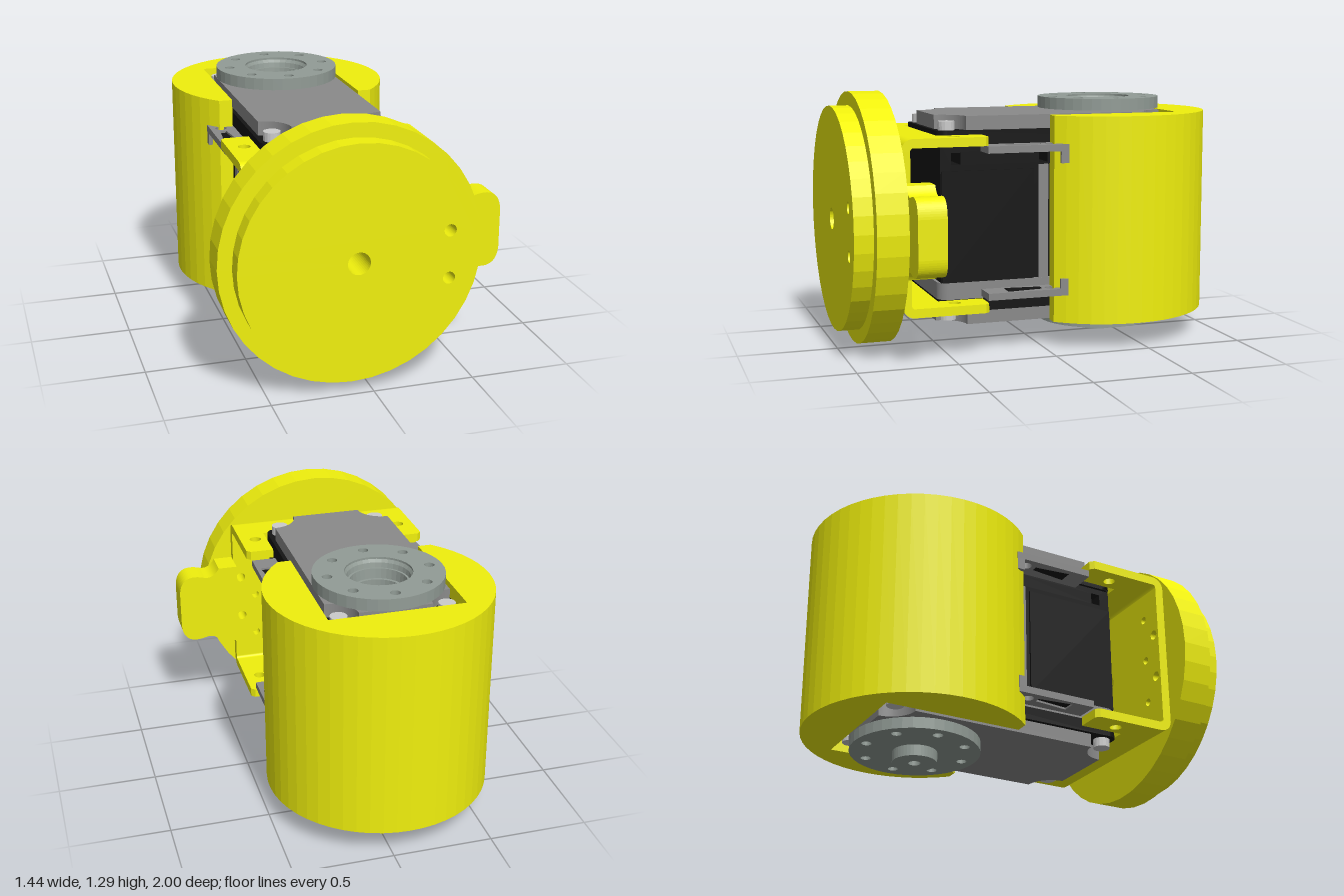
import * as THREE from 'three';

const CX = -0.08, CY = 0.655, CZ = -0.44; // body centre line, disc height, horn axis

export function createModel() {
  const model = new THREE.Group();
  const mat = (color) => new THREE.MeshStandardMaterial({ color, flatShading: true, side: THREE.DoubleSide });
  const yellow = mat(0xf0f00d), black = mat(0x141414), grey = mat(0x8a8a8a), metal = mat(0x929c96), light = mat(0xcccccc);

  const add = (name, geo, material) => {
    const mesh = new THREE.Mesh(geo, material);
    mesh.name = name;
    model.add(mesh);
    return mesh;
  };
  const hole = (x, y, r) => new THREE.Path().absarc(x, y, r, 0, Math.PI * 2, true);
  const extrude = (shape, depth) =>
    new THREE.ExtrudeGeometry(shape, { depth, bevelEnabled: false, curveSegments: 20 });
  // plan outline (shape y = -z) raised from y0 to y1
  const plan = (shape, y0, y1) => extrude(shape, y1 - y0).rotateX(-Math.PI / 2).translate(0, y0, 0);
  // side outline (shape x = -z) stretched from x0 to x1
  const side = (shape, x0, x1) => extrude(shape, x1 - x0).rotateY(Math.PI / 2).translate(x0, 0, 0);
  // outline in x,y pushed from z0 to z1
  const face = (shape, z0, z1) => extrude(shape, z1 - z0).translate(0, 0, z0);
  const poly = (pts) => new THREE.Shape(pts.map(([x, y]) => new THREE.Vector2(x, y)));
  const planPoly = (pts) => poly(pts.map(([x, z]) => [x, -z]));
  const disc = (x, y, r, holes = []) => {
    const s = new THREE.Shape().absarc(x, y, r, 0, Math.PI * 2);
    s.holes = holes.map((h) => hole(...h));
    return s;
  };

  // Stepped front disc
  const discHoles = [[CX, CY, 0.055], [0.36, 0.77, 0.03], [0.36, 0.535, 0.03]];
  add('frontDiscRim', face(disc(CX, CY, 0.64, discHoles), 0.75, 0.905), yellow);
  add('frontDiscFace', face(disc(CX, CY, 0.57, discHoles), 0.905, 1), yellow);

  // Lobed tab beside the disc
  const tab = new THREE.Shape();
  tab.moveTo(0.4, 0.43);
  tab.lineTo(0.5, 0.43);
  tab.quadraticCurveTo(0.53, 0.485, 0.58, 0.475);
  tab.bezierCurveTo(0.66, 0.45, 0.715, 0.47, 0.72, 0.56);
  tab.lineTo(0.72, 0.75);
  tab.bezierCurveTo(0.715, 0.84, 0.66, 0.86, 0.58, 0.835);
  tab.quadraticCurveTo(0.53, 0.825, 0.5, 0.88);
  tab.lineTo(0.4, 0.88);
  add('sideTab', face(tab, 0.61, 0.75), yellow);

  // U bracket: back plate, two rounded bends, two notched arms
  const plate = poly([[-0.56, 0.28], [0.4, 0.28], [0.4, 1.03], [-0.56, 1.03]]);
  plate.holes.push(hole(CX, CY, 0.055));
  for (const s of [-1, 1]) {
    for (const y of [0.535, 0.77]) plate.holes.push(hole(CX + s * 0.44, y, 0.025));
    for (const y of [0.42, 0.655, 0.89]) plate.holes.push(hole(CX + s * 0.36, y, 0.02));
  }
  add('bracketPlate', face(plate, 0.705, 0.75), yellow);

  const L = -0.56, R = 0.4;
  for (const top of [true, false]) {
    const bend = new THREE.Shape();
    const yc = top ? 1.03 : 0.28, sgn = top ? 1 : -1;
    bend.absarc(-0.69, yc, 0.06, Math.PI, Math.PI - sgn * Math.PI / 2, top);
    bend.absarc(-0.69, yc, 0.015, Math.PI - sgn * Math.PI / 2, Math.PI, !top);
    add('bracketBend', side(bend, L, R), yellow);
    const arm = planPoly([[L, 0.69], [L, 0.33], [L + 0.02, 0.31], [-0.42, 0.31], [-0.42, 0.54],
      [0.26, 0.54], [0.26, 0.31], [R - 0.02, 0.31], [R, 0.33], [R, 0.69]]);
    arm.holes.push(hole(-0.48, -0.47, 0.03), hole(0.32, -0.47, 0.03));
    add('bracketArm', top ? plan(arm, 1.045, 1.09) : plan(arm, 0.22, 0.265), yellow);
  }

  // Round rear shell with a slot for the servo, cut flat at the front
  const r = 0.56, cut = Math.asin(0.39 / r), edge = r * Math.cos(cut);
  const shell = new THREE.Shape();
  shell.moveTo(-0.415, 0.05);
  shell.lineTo(CX - edge, 0.05);
  shell.absarc(CX, -CZ, r, Math.PI + cut, -cut, true);
  shell.lineTo(0.255, 0.05);
  shell.lineTo(0.255, 0.745);
  shell.lineTo(-0.415, 0.745);
  add('rearShell', plan(shell, 0.13, 1.178), yellow);

  // Servo core: slotted front block and bored rear block
  const core = poly([[-0.515, 0.35], [0.2, 0.35], [0.2, 1.05], [-0.515, 1.05]]);
  for (const [a, b] of [[-0.46, -0.41], [0, 0.045]])
    core.holes.push(new THREE.Path([[a, 0.94], [a, 1], [b, 1], [b, 0.94]].map((p) => new THREE.Vector2(...p))));
  add('servoCore', side(core, -0.395, 0.235), black);
  const rear = planPoly([[-0.4, -0.2], [0.24, -0.2], [0.24, -0.73], [-0.4, -0.73]]);
  rear.holes.push(hole(CX, -CZ, 0.15));
  add('servoRearCore', plan(rear, 0.3, 1.1), black);
  for (const s of [-1, 1]) {
    const panel = new THREE.BoxGeometry(0.01, 0.56, 0.48);
    add('sidePanel', panel.translate(CX + s * 0.322, 0.63, 0.27), black);
    const strip = new THREE.BoxGeometry(0.012, 0.6, 0.05);
    add('sideStrip', strip.translate(CX + s * 0.322, 0.63, -0.02), grey);
  }

  // Servo end caps: a black tray and a grey cover with scooped corners
  const x0 = -0.41, x1 = 0.25, z0 = -0.735, z1 = 0.53;
  const rounded = (c) => {
    const s = new THREE.Shape();
    s.absarc(x1 - c, -z0 - c, c, 0, Math.PI / 2);
    s.absarc(x0 + c, -z0 - c, c, Math.PI / 2, Math.PI);
    s.absarc(x0 + c, -z1 + c, c, Math.PI, Math.PI * 1.5);
    s.absarc(x1 - c, -z1 + c, c, Math.PI * 1.5, Math.PI * 2);
    return s;
  };
  const scooped = (c) => {
    const s = new THREE.Shape(), h = Math.PI / 2;
    s.absarc(x1 - 0.02, -z0 - 0.02, c, -h, -2 * h, true);
    s.absarc(x0 + 0.02, -z0 - 0.02, c, 0, -h, true);
    s.absarc(x0 + 0.02, -z1 + 0.02, c, h, 0, true);
    s.absarc(x1 - 0.02, -z1 + 0.02, c, 2 * h, h, true);
    return s;
  };
  for (const top of [true, false]) {
    const bore = hole(CX, -CZ, top ? 0.15 : 0.03);
    const tray = rounded(0.05), cover = scooped(0.13);
    tray.holes.push(bore);
    cover.holes.push(bore);
    add('capTray', top ? plan(tray, 1.045, 1.11) : plan(tray, 0.2, 0.265), black);
    add('capCover', top ? plan(cover, 1.11, 1.18) : plan(cover, 0.13, 0.2), grey);
    const band = rounded(0.06);
    band.holes.push(bore);
    add('capBand', top ? plan(band, 1.03, 1.045) : plan(band, 0.265, 0.35), top ? black : grey);
    // Corner screws in the scoops
    for (const x of [-0.345, 0.185]) for (const z of [-0.67, 0.47]) {
      const screw = new THREE.CylinderGeometry(0.042, 0.042, 0.05, 16);
      add('capScrew', screw.translate(x, top ? 1.13 : 0.18, z), light);
    }
  }

  // Mounting ears on both sides, with ribs tapering to the rear
  for (const s of [-1, 1]) for (const top of [true, false]) {
    const X = (d) => CX + s * d;
    const ear = planPoly([[X(0.32), 0.31], [X(0.455), 0.31], [X(0.455), -0.11], [X(0.32), -0.11]]);
    ear.holes.push(hole(X(0.4), 0.03, 0.028), new THREE.Path([[0.365, -0.2], [0.435, -0.2], [0.415, -0.02], [0.385, -0.02]]
      .map(([d, y]) => new THREE.Vector2(X(d), y))));
    add('mountingEar', top ? plan(ear, 1.005, 1.04) : plan(ear, 0.275, 0.31), grey);
    const rib = planPoly([[X(0.365), 0.2], [X(0.435), 0.2], [X(0.415), 0.02], [X(0.385), 0.02]]);
    add('earRib', top ? plan(rib, 1.0, 1.03) : plan(rib, 0.285, 0.315), black);
    const hook = new THREE.BoxGeometry(0.02, 0.06, 0.04);
    add('earHook', hook.translate(X(0.445), top ? 0.975 : 0.33, -0.09), grey);
  }

  // Output horns with a ring of eight holes
  const ring = [...Array(8)].map((_, i) => {
    const a = i * Math.PI / 4;
    return [CX + 0.255 * Math.cos(a), -CZ + 0.255 * Math.sin(a), 0.025];
  });
  add('topHorn', plan(disc(CX, -CZ, 0.32, [...ring, [CX, -CZ, 0.165]]), 1.19, 1.25), metal);
  add('bottomHorn', plan(disc(CX, -CZ, 0.32, [...ring, [CX, -CZ, 0.03]]), 0.055, 0.11), metal);
  add('bottomHub', plan(disc(CX, -CZ, 0.11, [[CX, -CZ, 0.03]]), 0, 0.055), metal);
  add('bottomSpacer', plan(disc(CX, -CZ, 0.09, [[CX, -CZ, 0.03]]), 0.11, 0.13), metal);

  // Stepped collar and hollow shaft inside the top horn
  const collar = [[0.165, 1.24], [0.155, 1.225], [0.15, 1.2], [0.14, 1.2], [0.135, 1.15], [0.12, 1.15], [0.12, 1.0], [0.15, 1.0]];
  add('hornCollar', new THREE.LatheGeometry(collar.map((p) => new THREE.Vector2(...p)), 32).translate(CX, 0, CZ), metal);
  add('outputShaft', plan(disc(CX, -CZ, 0.085, [[CX, -CZ, 0.03]]), 0.3, 0.95), light);
  add('shaftFlange', plan(disc(CX, -CZ, 0.15, [[CX, -CZ, 0.03]]), 0.8, 0.85), metal);

  return model;
}
